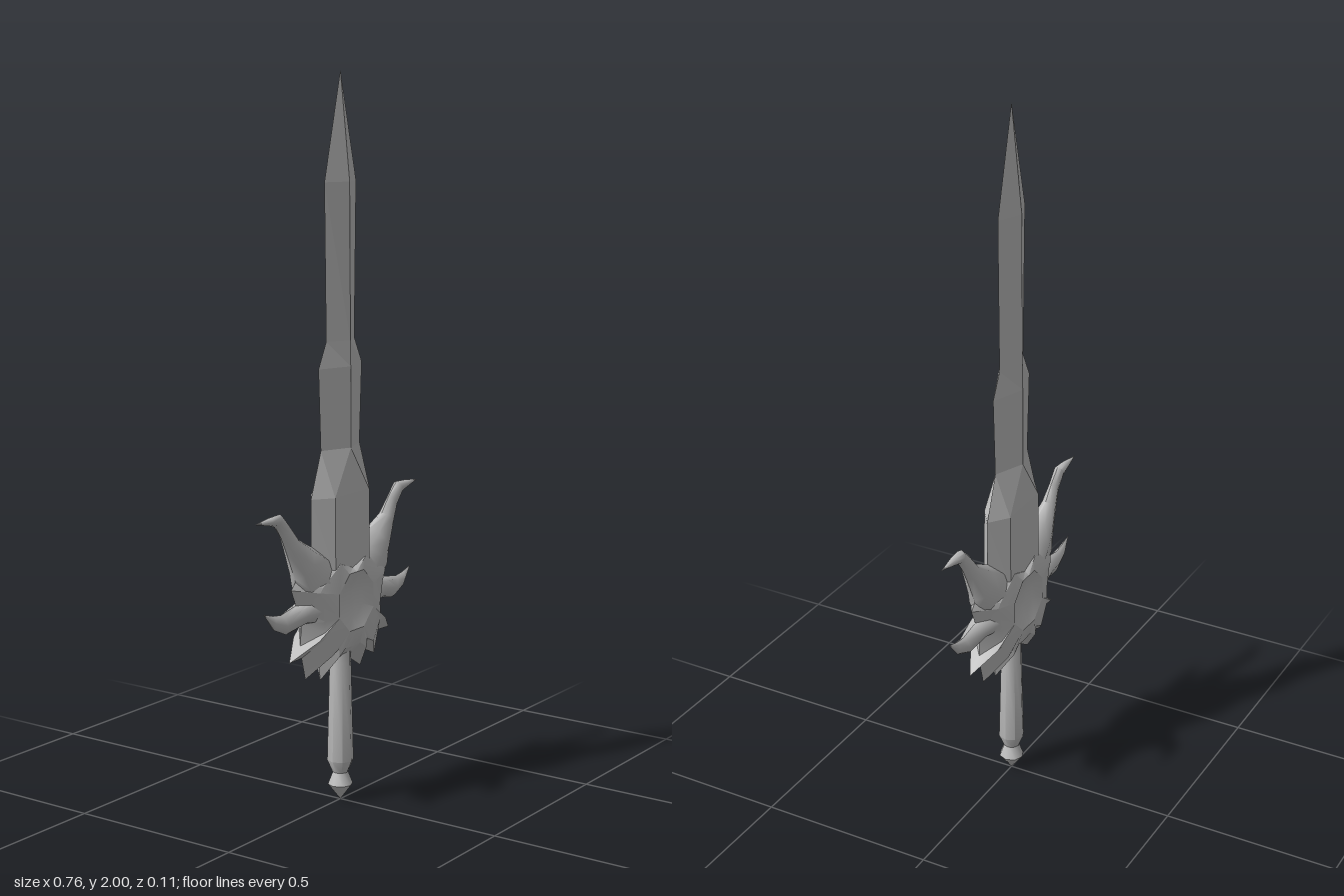
import * as THREE from 'three';
import { toCreasedNormals } from 'three/addons/utils/BufferGeometryUtils.js';

const steel = new THREE.MeshStandardMaterial({ color: 0xbcbcbc });
steel.name = 'steel grey';

// Skin a stack of closed rings, cap both ends, and turn the faces outward.
function loft(rings, crease) {
  const centre = (ring) => {
    const c = new THREE.Vector3();
    ring.forEach((p) => c.add(p));
    c.divideScalar(ring.length);
    return ring.map(() => c.clone());
  };
  const all = [centre(rings[0]), ...rings, centre(rings[rings.length - 1])];
  const origin = all[0][0];
  const tris = [];
  let volume = 0;
  const tri = (a, b, c) => {
    const n = b.clone().sub(a).cross(c.clone().sub(a));
    if (n.length() < 1e-9) return;
    volume += n.dot(a.clone().sub(origin));
    tris.push([a, b, c]);
  };
  for (let i = 0; i + 1 < all.length; i++) {
    const r = all[i], s = all[i + 1];
    for (let j = 0; j < r.length; j++) {
      const k = (j + 1) % r.length;
      tri(r[j], r[k], s[k]);
      tri(r[j], s[k], s[j]);
    }
  }
  const points = tris.flatMap(([a, b, c]) => (volume < 0 ? [a, c, b] : [a, b, c]));
  const geometry = new THREE.BufferGeometry().setFromPoints(points);
  return creased(geometry, crease);
}

// Enlarged while creasing so that close vertices stay distinct.
function creased(geometry, angle) {
  geometry.scale(100, 100, 100);
  const g = toCreasedNormals(geometry, angle);
  g.scale(0.01, 0.01, 0.01);
  return g;
}

const V = (x, y, z) => new THREE.Vector3(x, y, z);

// Blade: diamond section that opens into a flat panel near the guard.
function bladeGeometry() {
  // height, half width, half depth, half width of the panel
  const stations = [
    [0.66, 0.135, 0.042, 0.08], [0.875, 0.135, 0.04, 0.08],
    [1.0, 0.09, 0.035, 0], [1.22, 0.1, 0.034, 0], [1.29, 0.065, 0.033, 0],
    [1.71, 0.072, 0.03, 0], [2.0, 0, 0, 0],
  ];
  return loft(stations.map(([y, w, d, p]) => [
    V(w, y, 0), V(p, y, d), V(-p, y, d), V(-w, y, 0), V(-p, y, -d), V(p, y, -d),
  ]), 0.02);
}

// Guard hub: jagged rim rising to an octagonal socket on both faces.
function hubGeometry() {
  const cy = 0.58, apothem = 0.08, radius = apothem / Math.cos(Math.PI / 8);
  const half = [
    [0.08, 0.72], [0.2, 0.67], [0.225, 0.645], [0.205, 0.6], [0.18, 0.545],
    [0.185, 0.485], [0.235, 0.448], [0.18, 0.45], [0.163, 0.387], [0.1, 0.415],
    [0.095, 0.368], [0.035, 0.405],
  ];
  const rim = [
    [0, 0.68], ...half, [0, 0.4],
    ...half.slice().reverse().map(([x, y]) => [-x, y]),
  ].map(([x, y]) => V(x, y, 0));
  // Each rim point joins the nearest corner of the socket.
  const socket = rim.map((p) => {
    if (p.x === 0) return V(0, cy + Math.sign(p.y - cy) * apothem, 0);
    const a = Math.atan2(p.y - cy, Math.abs(p.x));
    const corner = (Math.floor(a / (Math.PI / 4)) + 0.5) * Math.PI / 4;
    return V(Math.sign(p.x) * radius * Math.cos(corner), cy + radius * Math.sin(corner), 0);
  });
  const middle = V(0, cy, 0);
  const ring = (from, to, t, z) => from.map((p, i) => {
    const q = p.clone().lerp(to ? to[i] : middle, t);
    q.z = z;
    return q;
  });
  const face = (s) => [
    ring(socket, null, 0.75, 0.034 * s), ring(socket, null, 0.4, 0.04 * s),
    ring(socket, null, 0, 0.055 * s), ring(socket, rim, 0.5, 0.043 * s),
  ];
  return loft([...face(1), rim, ...face(-1).reverse()], 0.5);
}

// Curved spike: oval sections between an upper and a lower edge.
function spikeGeometry(sections, side) {
  return loft(sections.map(([ux, uy, lx, ly, depth]) =>
    Array.from({ length: 8 }, (_, i) => {
      const a = i * Math.PI / 4, t = (1 - Math.cos(a)) / 2;
      return V(side * (ux + (lx - ux) * t), uy + (ly - uy) * t, depth * Math.sin(a));
    })), 1);
}

const horn = [
  [0.05, 0.69, 0.13, 0.57, 0.047], [0.08, 0.72, 0.2, 0.63, 0.043],
  [0.14, 0.75, 0.207, 0.67, 0.036], [0.2, 0.782, 0.247, 0.755, 0.02],
  [0.235, 0.825, 0.268, 0.795, 0.013], [0.272, 0.86, 0.292, 0.828, 0.015],
  [0.315, 0.858, 0.32, 0.837, 0.012], [0.38, 0.85, 0.38, 0.85, 0],
];
const sideSpike = [
  [0.11, 0.62, 0.11, 0.53, 0.046], [0.205, 0.6, 0.18, 0.543, 0.03],
  [0.27, 0.588, 0.248, 0.53, 0.016], [0.305, 0.593, 0.3, 0.553, 0.011],
  [0.345, 0.605, 0.345, 0.605, 0],
];

// Eight-sided turned part.
function turned(profile) {
  const g = new THREE.LatheGeometry(profile.map(([r, y]) => new THREE.Vector2(r, y)), 8);
  return creased(g.toNonIndexed(), 0.85);
}

export function createModel() {
  const sword = new THREE.Group();
  sword.name = 'sword';
  const add = (name, geometry) => {
    const mesh = new THREE.Mesh(geometry, steel);
    mesh.name = name;
    sword.add(mesh);
  };
  add('blade', bladeGeometry());
  add('guardHub', hubGeometry());
  for (const [label, side] of [['left', 1], ['right', -1]]) {
    add(label + 'Horn', spikeGeometry(horn, side));
    add(label + 'SideSpike', spikeGeometry(sideSpike, side));
  }
  add('grip', turned([[0, 0.085], [0.022, 0.085], [0.037, 0.12], [0.03, 0.4], [0.03, 0.46]]));
  add('pommel', turned([[0, 0.005], [0.035, 0.05], [0.02, 0.088]]));
  return sword;
}
